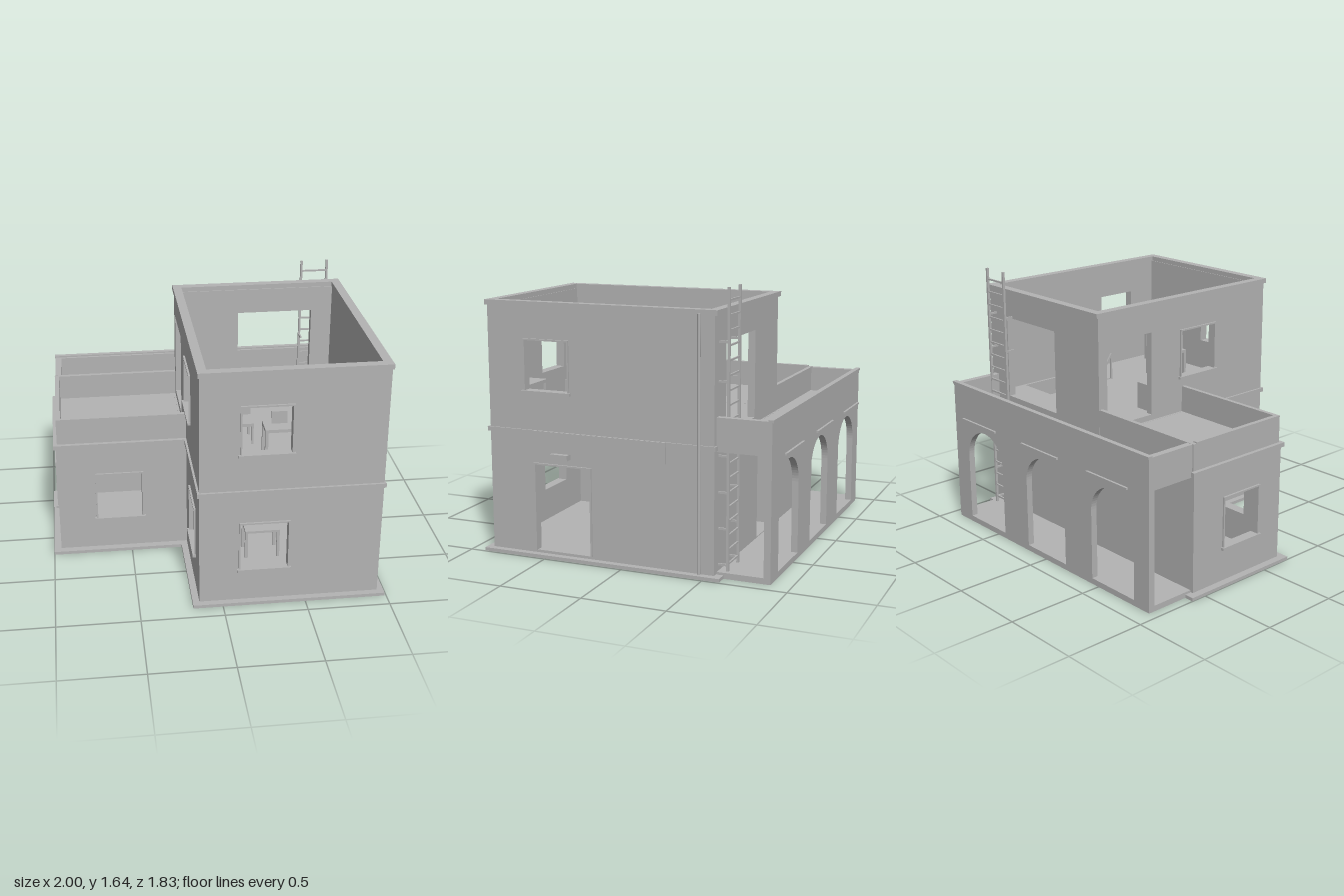
import * as THREE from 'three';

const plaster = new THREE.MeshStandardMaterial({ color: 0xb3b3b3 });
plaster.name = 'plaster grey';

export function createModel() {
  const model = new THREE.Group();
  model.name = 'house';

  const add = (name, geo) => {
    const mesh = new THREE.Mesh(geo, plaster);
    mesh.name = name;
    model.add(mesh);
    return mesh;
  };
  // Box given by its limits on each axis
  const box = (name, x0, x1, y0, y1, z0, z1) => {
    const m = add(name, new THREE.BoxGeometry(x1 - x0, y1 - y0, z1 - z0));
    m.position.set((x0 + x1) / 2, (y0 + y1) / 2, (z0 + z1) / 2);
    return m;
  };
  const rect = (C, a0, a1, b0, b1) => {
    const s = new C();
    s.moveTo(a0, b0); s.lineTo(a1, b0); s.lineTo(a1, b1); s.lineTo(a0, b1); s.closePath();
    return s;
  };
  const extrude = (outline, holes, depth) => {
    outline.holes.push(...holes);
    return new THREE.ExtrudeGeometry(outline, { depth, bevelEnabled: false, curveSegments: 16 });
  };
  const openings = (list) => list.map((h) => rect(THREE.Path, ...h));
  // Wall across x, from z to z + t
  const wallX = (name, x0, x1, y0, y1, z, t, holes = []) => {
    add(name, extrude(rect(THREE.Shape, x0, x1, y0, y1), openings(holes), t)).position.z = z;
  };
  // Wall along z, from x - t to x
  const wallZ = (name, z0, z1, y0, y1, x, t, holes = []) => {
    const m = add(name, extrude(rect(THREE.Shape, z0, z1, y0, y1), openings(holes), t));
    m.rotation.y = -Math.PI / 2;
    m.position.x = x;
  };
  // Floor with rectangular holes, in x and z
  const floor = (name, x0, x1, z0, z1, y0, y1, holes = []) => {
    const flip = holes.map(([a, b, c, d]) => [a, b, -d, -c]);
    const m = add(name, extrude(rect(THREE.Shape, x0, x1, -z1, -z0), openings(flip), y1 - y0));
    m.rotation.x = -Math.PI / 2;
    m.position.y = y0;
  };
  // Four-sided moulding ring, from outer limits inwards
  const ring = (name, x0, x1, z0, z1, y0, y1, t) =>
    floor(name, x0, x1, z0, z1, y0, y1, [[x0 + t, x1 - t, z0 + t, z1 - t]]);

  // Ground slabs
  box('mainSlab', -0.18, 0.99, 0, 0.02, -0.6, 0.91);
  box('wingSlab', -1, -0.18, 0, 0.02, -0.6, 0.21);
  box('porchFloor', -0.94, 0.92, 0, 0.035, -0.88, -0.56);
  box('mainGroundFloor', -0.13, 0.93, 0.02, 0.035, -0.54, 0.85);
  box('wingGroundFloor', -0.94, -0.13, 0.02, 0.035, -0.54, 0.15);

  // Window and door openings: [start, end, bottom, top]
  const T = 0.045;
  const lowFront = [0.105, 0.39, 0.235, 0.54], upFront = [0.105, 0.395, 1, 1.295];
  const wingFront = [-0.71, -0.425, 0.235, 0.54], wingSide = [-0.31, -0.03, 0.235, 0.54];
  const upRight = [0.35, 0.625, 1, 1.295], upLeft = [0.12, 0.41, 1, 1.295];
  const lowLeft = [0.39, 0.67, 0.235, 0.54], door = [0.215, 0.57, 0.036, 0.56];
  const terraceDoor = [-0.49, -0.13, 0.801, 1.33], backDoor = [-0.06, 0.22, 0.036, 0.56];
  const backOpening = [0.28, 0.77, 0.801, 1.33];

  // Two-storey block
  wallX('mainFrontWall', -0.14, 0.95, 0.02, 1.49, 0.87 - T, T, [lowFront, upFront]);
  wallX('mainBackWall', -0.14, 0.95, 0.02, 1.49, -0.555, T, [backDoor, backOpening]);
  wallZ('mainRightWall', -0.51, 0.825, 0.02, 1.49, 0.95, T, [door, upRight]);
  wallZ('mainLeftWall', -0.51, 0.825, 0.02, 1.49, -0.14 + T, T, [lowLeft, upLeft, terraceDoor]);
  box('closedShutter', -0.12, -0.105, 0.235, 0.54, 0.39, 0.67);
  ring('roofCornice', -0.15, 0.957, -0.572, 0.885, 1.49, 1.52, 0.055);
  ring('storeyCornice', -0.153, 0.96, -0.565, 0.885, 0.738, 0.765, 0.05);
  floor('upperFloor', -0.1, 0.91, -0.515, 0.83, 0.74, 0.8, [[0.615, 0.89, -0.34, 0.2]]);

  // Single-storey wing with roof terrace
  wallX('wingFrontWall', -0.955, -0.14, 0.02, 0.75, 0.165 - T, T, [wingFront]);
  wallX('wingBackWall', -0.955, -0.14, 0.02, 0.75, -0.555, T);
  wallZ('wingSideWall', -0.51, 0.12, 0.02, 0.75, -0.955 + T, T, [wingSide]);
  box('wingRoof', -0.955, -0.14, 0.73, 0.764, -0.555, 0.165);
  box('wingFrontCornice', -0.97, -0.15, 0.738, 0.765, 0.15, 0.18);
  box('wingSideCornice', -0.97, -0.945, 0.738, 0.765, -0.57, 0.15);
  wallX('wingFrontParapet', -0.946, -0.14, 0.764, 0.932, 0.13, 0.026);
  wallX('wingBackParapet', -0.946, -0.14, 0.764, 0.925, -0.553, 0.026);
  wallZ('wingSideParapet', -0.527, 0.13, 0.764, 0.932, -0.918, 0.028);

  // Arcaded porch
  const arches = [-0.63, -0.012, 0.605].map((c) => {
    const r = 0.185, p = new THREE.Path();
    p.moveTo(c - r, 0.036);
    p.lineTo(c + r, 0.036);
    p.lineTo(c + r, 0.47);
    p.absarc(c, 0.47, r, 0, Math.PI, false);
    p.closePath();
    return p;
  });
  add('arcadeWall', extrude(rect(THREE.Shape, -0.94, 0.925, 0.02, 0.925), arches, 0.04)).position.z = -0.88;
  box('arcadeCap', -0.943, 0.928, 0.92, 0.935, -0.888, -0.857);
  for (const x of [-0.9, 0.925]) wallZ('porchEndParapet', -0.84, -0.556, 0.73, 0.925, x, 0.04);
  floor('porchRoof', -0.9, 0.885, -0.84, -0.555, 0.73, 0.764, [[0.665, 0.884, -0.74, -0.57]]);
  for (const x of [-0.625, -0.007, 0.612]) box('archLedge', x - 0.175, x + 0.175, 0.712, 0.724, -0.922, -0.908);

  // Window trim: sill, lintel and two jambs standing proud of the wall
  const trim = (axis, face, out, [a0, a1, b0, b1], sill = true) => {
    const put = (name, s0, s1, y0, y1, d) => {
      const f0 = Math.min(face - out * 0.002, face + out * d), f1 = Math.max(face - out * 0.002, face + out * d);
      if (axis === 'x') box(name, s0, s1, y0, y1, f0, f1);
      else box(name, f0, f1, y0, y1, s0, s1);
    };
    if (sill) put('windowSill', a0 - 0.02, a1 + 0.02, b0 - 0.016, b0, 0.02);
    put('lintelTrim', a0 - 0.01, a1 + 0.01, b1, b1 + 0.01, 0.012);
    put('jambTrim', a0 - 0.01, a0, b0, b1, 0.01);
    put('jambTrim', a1, a1 + 0.01, b0, b1, 0.01);
  };
  trim('x', 0.87, 1, lowFront);
  trim('x', 0.87, 1, upFront);
  trim('x', 0.165, 1, wingFront);
  trim('z', -0.955, -1, wingSide);
  trim('z', -0.14, -1, lowLeft);
  trim('z', -0.14, -1, upLeft);
  trim('z', 0.95, 1, upRight);
  trim('z', 0.95, 1, door, false);

  // Fascia panel, door lamp and drainpipe on the right side
  box('fasciaPanel', 0.94, 0.965, 0.64, 0.764, -0.265, 0.585);
  box('doorLamp', 0.945, 0.995, 0.607, 0.64, 0.34, 0.45);
  const pipe = add('drainpipe', new THREE.CylinderGeometry(0.01, 0.01, 1.48, 10));
  pipe.position.set(0.957, 0.76, -0.465);

  // Roof ladder with wall brackets
  for (const x of [0.715, 0.885]) {
    box('ladderRail', x - 0.007, x + 0.007, 0.035, 1.64, -0.62, -0.605);
    for (const y of [0.07, 0.28, 0.49, 0.7, 1.12, 1.34]) {
      box('ladderBracket', x - 0.005, x + 0.005, y - 0.006, y + 0.006, -0.606, -0.55);
    }
  }
  for (let i = 0; i < 19; i++) {
    const y = 1.57 - i * 0.083;
    box('ladderRung', 0.715, 0.885, y - 0.005, y + 0.005, -0.617, -0.607);
  }

  // Indoor staircase and sloping handrail
  const steps = 9;
  for (let i = 0; i < steps; i++) {
    const z = -0.34 + i * 0.06, y = 0.035 + (i + 1) * 0.085;
    box('stairStep', 0.63, 0.885, y - 0.085, y, z, z + 0.06);
  }
  const rail = add('stairRail', new THREE.BoxGeometry(0.012, 0.012, 0.92));
  rail.position.set(0.622, 0.6, -0.07);
  rail.rotation.x = -Math.atan2(0.765, 0.54);
  for (const z of [-0.2, 0, 0.19]) box('railPost', 0.616, 0.628, 0.06 + (z + 0.34) * 1.4, 0.6 + (z + 0.07) * 1.4, z - 0.005, z + 0.005);

  // Upstairs furniture
  const legs = (x0, x1, z0, z1, y0, y1, w) => {
    for (const x of [x0, x1 - w]) for (const z of [z0, z1 - w]) box('furnitureLeg', x, x + w, y0, y1, z, z + w);
  };
  const desk = (x0, x1, z0, z1, mx0, mx1, mz) => {
    box('deskTop', x0, x1, 0.98, 1, z0, z1);
    legs(x0, x1, z0, z1, 0.8, 0.98, 0.018);
    box('deskScreen', mx0, mx1, 1, 1.08, mz - 0.005, mz + 0.005);
  };
  desk(0.29, 0.555, 0.45, 0.58, 0.34, 0.435, 0.49);
  desk(0.575, 0.835, 0.69, 0.825, 0.7, 0.79, 0.78);
  box('chairSeat', 0.13, 0.255, 0.92, 0.94, 0.21, 0.36);
  box('chairBack', 0.13, 0.255, 0.94, 1.18, 0.21, 0.225);
  legs(0.13, 0.255, 0.21, 0.36, 0.8, 0.92, 0.014);
  box('cabinet', -0.096, 0, 0.8, 1.19, 0.585, 0.825);
  box('sideTable', -0.096, 0.025, 0.8, 0.97, -0.1, 0.01);

  // Downstairs table
  box('lowerTableTop', 0.2, 0.42, 0.215, 0.23, 0.3, 0.45);
  legs(0.2, 0.42, 0.3, 0.45, 0.035, 0.215, 0.018);

  return model;
}
